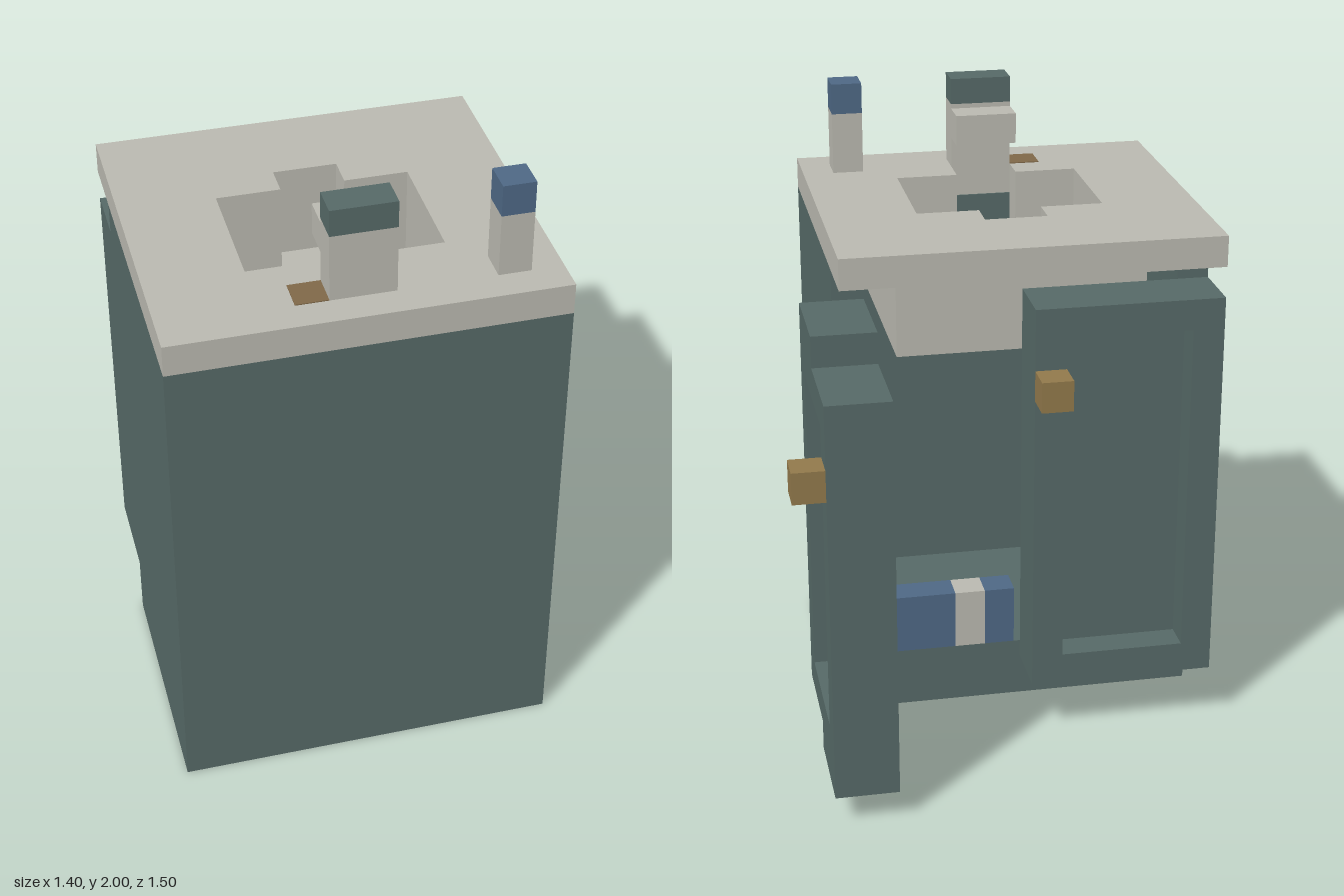
import * as THREE from 'three';

const mat = (name, color) => {
  const m = new THREE.MeshStandardMaterial({ color });
  m.name = name;
  return m;
};

export function createModel() {
  const teal = mat('teal paint', 0x566967);
  const stone = mat('pale stone', 0xbab9b0);
  const blue = mat('blue plastic', 0x4e6885);
  const gold = mat('brass', 0x91794b);
  const rust = mat('rust', 0x7f6848);

  const model = new THREE.Group();
  model.name = 'sinkCabinet';
  const group = (name) => {
    const g = new THREE.Group();
    g.name = name;
    model.add(g);
    return g;
  };
  const add = (parent, name, geometry, material) => {
    const mesh = new THREE.Mesh(geometry, material);
    mesh.name = name;
    parent.add(mesh);
    return mesh;
  };
  // box given by its lower and upper limits on each axis
  const box = (parent, name, material, x0, x1, y0, y1, z0, z1) => {
    const mesh = add(parent, name, new THREE.BoxGeometry(x1 - x0, y1 - y0, z1 - z0), material);
    mesh.position.set((x0 + x1) / 2, (y0 + y1) / 2, (z0 + z1) / 2);
    return mesh;
  };
  // flat plate from an outline with one hole
  const plate = (outline, hole, depth) => {
    const toPoints = (list) => list.map(([a, b]) => new THREE.Vector2(a, b));
    const shape = new THREE.Shape(toPoints(outline));
    shape.holes.push(new THREE.Path(toPoints(hole)));
    return new THREE.ExtrudeGeometry(shape, { depth, bevelEnabled: false });
  };
  const rect = (a0, a1, b0, b1) => [[a0, b0], [a1, b0], [a1, b1], [a0, b1]];

  // cabinet shell, open toward -z
  const cabinet = group('cabinet');
  box(cabinet, 'base', teal, -0.7, 0.5, 0, 0.2, -0.05, 0.75);
  box(cabinet, 'panel', teal, -0.7, 0.5, 0.2, 1.6, 0.65, 0.75);
  box(cabinet, 'rightWall', teal, -0.7, -0.6, 0.2, 1.6, -0.15, 0.65);
  box(cabinet, 'leftWall', teal, 0.4, 0.5, 0.2, 1.6, -0.05, 0.65);

  // front strip of the left wall, broken by two hinges
  for (const [y0, y1] of [[0.4, 1.3], [1.4, 1.6]]) box(cabinet, 'wallEdge', teal, 0.4, 0.5, y0, y1, -0.15, -0.05);
  for (const [y0, y1] of [[0.2, 0.4], [1.3, 1.4]]) box(cabinet, 'hinge', rust, 0.4, 0.5, y0, y1, -0.15, -0.05);

  // counter and basin share a stepped round opening (outlines use -z as second axis)
  const opening = [
    [-0.4, -0.05], [-0.2, -0.05], [-0.2, 0.05], [0, 0.05], [0, -0.05], [0.2, -0.05],
    [0.2, -0.45], [0, -0.45], [0, -0.55], [-0.2, -0.55], [-0.2, -0.45], [-0.4, -0.45],
  ];
  const flat = (outline, depth) => plate(outline, opening, depth).rotateX(-Math.PI / 2);
  const sink = group('sink');
  add(sink, 'countertop', flat(rect(-0.7, 0.5, -0.75, 0.35), 0.1), stone).position.y = 1.6;
  add(sink, 'basinWall', flat(rect(-0.5, 0.3, -0.65, 0.15), 0.2), stone).position.y = 1.4;
  box(sink, 'basinFloor', stone, -0.5, 0.3, 1.3, 1.4, -0.15, 0.65);
  box(sink, 'drain', teal, -0.2, 0, 1.4, 1.405, 0.15, 0.25);
  box(sink, 'basinBackPatch', teal, -0.2, 0, 1.4, 1.6, 0.545, 0.55);
  box(sink, 'rustStain', rust, -0.2, 0, 1.4, 1.405, 0.35, 0.45);
  box(sink, 'rustStain', rust, -0.1, 0, 1.4, 1.405, 0.25, 0.35);
  box(sink, 'counterStain', rust, -0.3, -0.2, 1.7, 1.703, 0.55, 0.65);

  // faucet and tap
  const faucet = group('faucet');
  box(faucet, 'faucetPost', stone, -0.2, 0, 1.7, 1.915, 0.55, 0.65);
  box(faucet, 'faucetCap', teal, -0.2, 0, 1.915, 2, 0.55, 0.65);
  box(faucet, 'spout', stone, -0.2, 0, 1.8, 1.9, 0.45, 0.55);
  box(faucet, 'tapPost', stone, 0.3, 0.4, 1.7, 1.9, 0.55, 0.65);
  box(faucet, 'tapCap', blue, 0.3, 0.4, 1.9, 2, 0.55, 0.65);

  // closed door with recessed panel
  const closedDoor = group('closedDoor');
  box(closedDoor, 'doorPanel', teal, -0.7, -0.1, 0.2, 1.5, -0.25, -0.15);
  add(closedDoor, 'doorFrame', plate(rect(-0.7, -0.1, 0.2, 1.5), rect(-0.6, -0.2, 0.3, 1.4), 0.1), teal).position.z = -0.35;
  box(closedDoor, 'doorHandle', gold, -0.2, -0.1, 1.2, 1.3, -0.45, -0.35);

  // open door, its outer half sagging one step
  const openDoor = group('openDoor');
  box(openDoor, 'innerPanel', teal, 0.4, 0.5, 0.2, 1.5, -0.45, -0.15);
  box(openDoor, 'outerPanel', teal, 0.4, 0.5, 0.1, 1.4, -0.75, -0.45);
  const sagging = [
    [0.15, 0.2], [0.45, 0.2], [0.45, 0.1], [0.75, 0.1],
    [0.75, 1.4], [0.45, 1.4], [0.45, 1.5], [0.15, 1.5],
  ];
  const frame = plate(sagging, rect(0.25, 0.65, 0.3, 1.3), 0.1).rotateY(Math.PI / 2);
  add(openDoor, 'doorFrame', frame, teal).position.x = 0.5;
  box(openDoor, 'doorHandle', gold, 0.6, 0.7, 1.1, 1.2, -0.75, -0.65);

  // bottles lying on the cabinet floor
  const bottles = group('bottles');
  box(bottles, 'bottleCap', stone, 0.3, 0.4, 0.2, 0.4, -0.05, 0.05);
  box(bottles, 'bottleBody', blue, 0.1, 0.3, 0.2, 0.4, -0.05, 0.05);
  box(bottles, 'bottleCap', stone, 0, 0.1, 0.2, 0.4, -0.05, 0.05);
  box(bottles, 'bottleBody', blue, -0.1, 0, 0.2, 0.4, -0.05, 0.05);

  return model;
}
